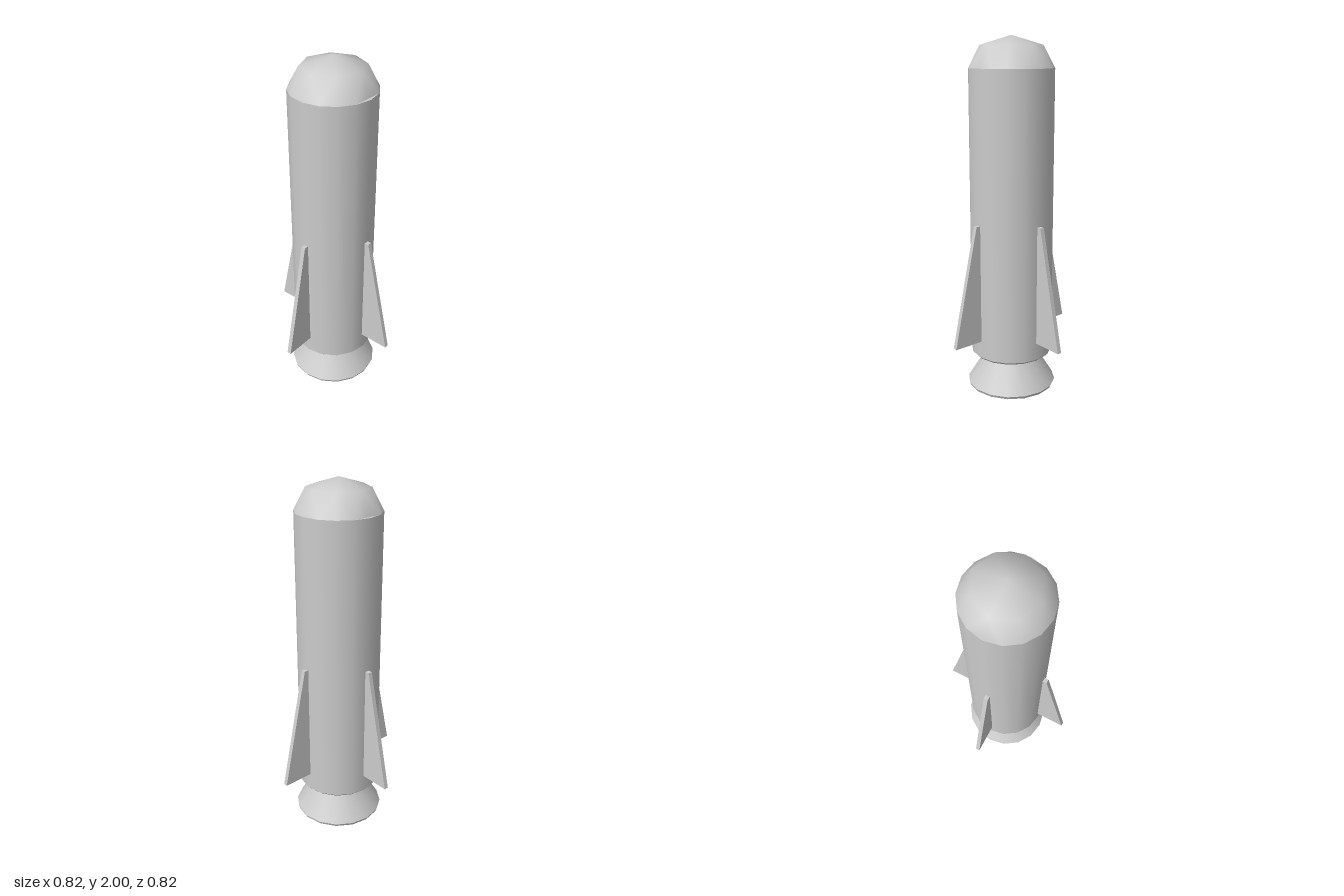
import * as THREE from 'three';

const SIDES = 16;
const BODY_R = 0.235;
const SHOULDER_Y = 1.828;
const material = new THREE.MeshStandardMaterial({ color: 0xcccccc });

function addMesh(parent, name, geometry) {
  const mesh = new THREE.Mesh(geometry, material);
  mesh.name = name;
  parent.add(mesh);
  return mesh;
}

// Smooth turned part; a repeated point in the profile makes a sharp edge
function lathe(profile) {
  return new THREE.LatheGeometry(profile.map(([r, y]) => new THREE.Vector2(r, y)), SIDES);
}

// Faceted dome: 16-point base ring, 8-point upper ring and an apex
function noseGeometry() {
  const positions = [];
  const ring = (count, radiusAt, y) => {
    for (let i = 0; i < count; i++) {
      const a = (i / count) * Math.PI * 2;
      const r = radiusAt(i);
      positions.push(r * Math.sin(a), y, r * Math.cos(a));
    }
  };
  // the base is flattened at both sides, leaving a small ledge on the body
  ring(SIDES, (i) => (i % 8 === 4 ? BODY_R * Math.cos(Math.PI / 8) : BODY_R), SHOULDER_Y);
  ring(8, () => 0.172, 1.948);
  positions.push(0, 2, 0);

  const index = [];
  const apex = SIDES + 8;
  for (let k = 0; k < 8; k++) {
    const low = 2 * k;
    const mid = low + 1;
    const next = (low + 2) % SIDES;
    const up = SIDES + k;
    const upNext = SIDES + ((k + 1) % 8);
    index.push(low, mid, up, mid, upNext, up, mid, next, upNext, up, upNext, apex);
  }
  const geometry = new THREE.BufferGeometry();
  geometry.setAttribute('position', new THREE.Float32BufferAttribute(positions, 3));
  geometry.setIndex(index);
  geometry.computeVertexNormals();
  return geometry;
}

// Tapered fin plate in the xy plane, its root sunk into the body
function finGeometry() {
  const thickness = 0.025;
  const shape = new THREE.Shape([
    new THREE.Vector2(0.2, 0.312),
    new THREE.Vector2(0.408, 0.312),
    new THREE.Vector2(0.257, 0.99),
    new THREE.Vector2(0.2, 0.99),
  ]);
  const geometry = new THREE.ExtrudeGeometry(shape, { depth: thickness, bevelEnabled: false });
  return geometry.translate(0, 0, -thickness / 2);
}

export function createModel() {
  const model = new THREE.Group();
  model.name = 'rocket';

  // Body tube with a softened lower edge
  addMesh(model, 'body', lathe([
    [0, 0.2], [0.222, 0.2], [0.222, 0.2], [BODY_R, 0.213], [BODY_R, 0.213],
    [BODY_R, SHOULDER_Y], [BODY_R, SHOULDER_Y], [0, SHOULDER_Y],
  ]));

  addMesh(model, 'noseCone', noseGeometry());

  // Flared engine bell, closed underneath
  addMesh(model, 'nozzle', lathe([
    [0, 0], [0.25, 0], [0.25, 0], [0.257, 0.016], [0.257, 0.016],
    [0.152, 0.185], [0.152, 0.205],
  ]));

  // Four fins around the body
  const fin = finGeometry();
  for (let i = 0; i < 4; i++) {
    addMesh(model, `fin${i + 1}`, fin).rotation.y = (i * Math.PI) / 2;
  }
  return model;
}
